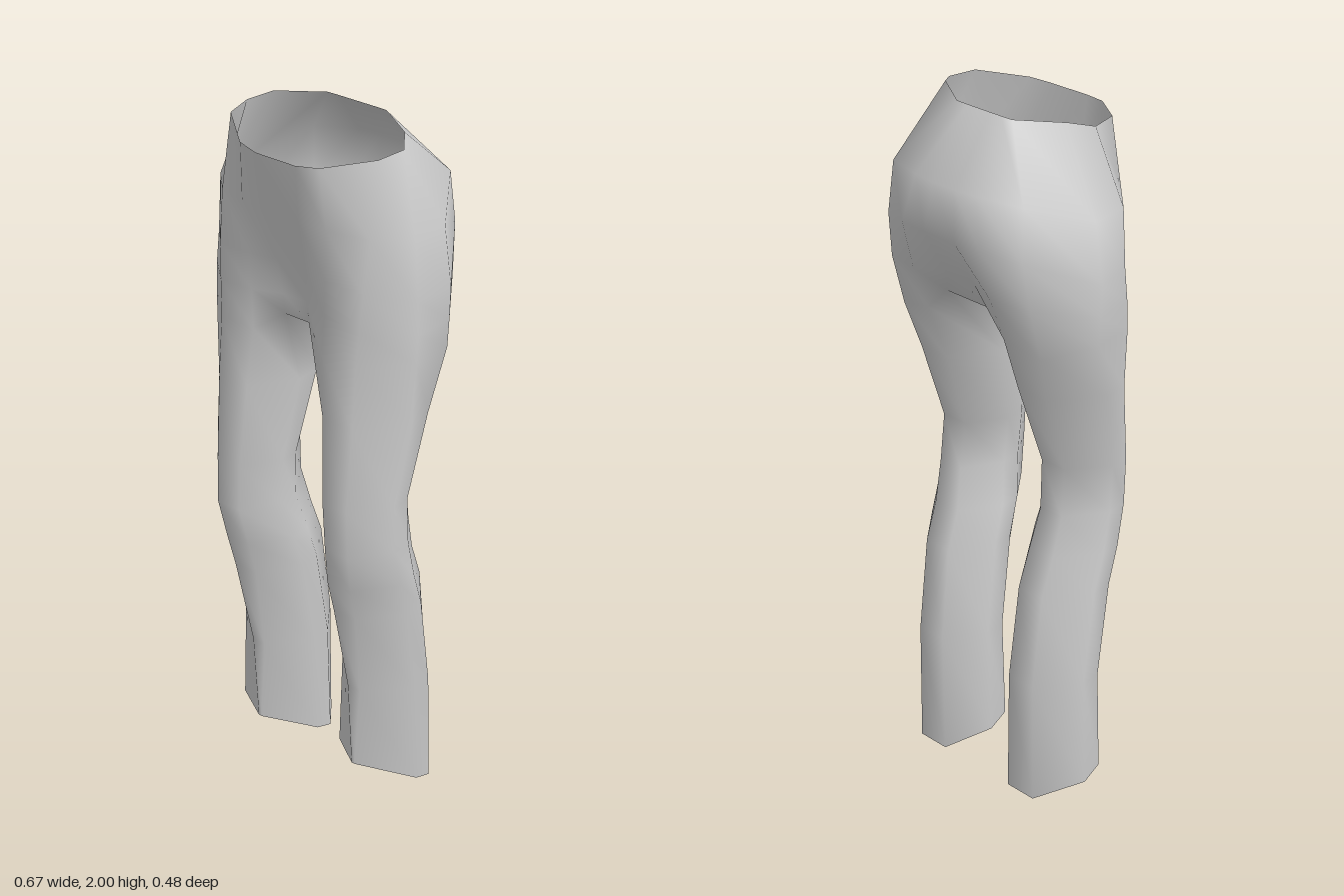
import * as THREE from 'three';

// Torso rings from waist to crotch, one side only, running from the centre
// front round the hip to the centre back: x, y, z for each of 8 columns.
const TORSO = [
  // waist rim
  [.06, 1.96, .24, .12, 1.965, .225, .225, 1.983, .135, .24, 1.985, .055,
    .2, 2, 0, .09, 2, -.075, .055, 2, -.076, .02, 2, -.076],
  // upper hip
  [.05, 1.8, .217, .13, 1.8, .212, .23, 1.79, .17, .305, 1.78, .09,
    .312, 1.78, -.02, .215, 1.84, -.175, .1, 1.85, -.215, .035, 1.85, -.222],
  // widest hip
  [.045, 1.66, .187, .12, 1.66, .205, .225, 1.65, .19, .316, 1.62, .09,
    .335, 1.62, -.02, .225, 1.7, -.188, .13, 1.72, -.235, .05, 1.72, -.24],
  // below the seat
  [.038, 1.56, .172, .115, 1.56, .202, .22, 1.55, .198, .322, 1.53, .095,
    .333, 1.53, -.02, .235, 1.57, -.17, .13, 1.58, -.2, .045, 1.58, -.165],
  // crotch
  [.038, 1.5, .165, .11, 1.45, .205, .215, 1.45, .205, .322, 1.45, .1,
    .329, 1.45, -.02, .235, 1.42, -.13, .13, 1.45, -.15, .09, 1.5, -.12],
];

// Leg rings: y, inner x, outer x, back z, front z, half width of the front facet
const LEG = [
  [1.28, .042, .315, -.088, .22, .17],
  [1.04, .07, .296, -.01, .24, .17],
  [.9, .08, .297, -.022, .24, .17],
  [.78, .06, .3, -.05, .217, .16],
  [.67, .057, .3, -.09, .19, .15],
  [.39, .05, .303, -.125, .145, .08],
  [0, .04, .315, -.125, .147, .02], // hem, slanted below
];

const COLS = 8;

// Eight points round a leg, in the same column order as the torso rings
function legRing([y, xi, xo, zb, zf, f], isHem) {
  const mid = 0.47;
  const section = [
    [0, .62], [mid - f, 1], [mid + f, 1], [1, .62],
    [1, .4], [mid + .17, 0], [mid - .17, 0], [0, .4],
  ];
  return section.flatMap(([u, v]) => {
    const z = zb + (zf - zb) * v;
    return [xi + (xo - xi) * u, isHem ? .057 + .45 * z : y, z];
  });
}

function trousersGeometry() {
  const rings = [...TORSO, ...LEG.map((r, i) => legRing(r, i === LEG.length - 1))];
  const left = rings.flat();
  const right = left.map((v, i) => (i % 3 === 0 ? -v : v));
  const offset = left.length / 3;
  const crotch = TORSO.length - 1;
  const index = [];
  const L = (row, col) => row * COLS + (col % COLS);
  const R = (row, col) => offset + L(row, col);
  // a b is the upper edge, d e the lower edge, seen from outside
  const quad = (a, b, d, e) => index.push(a, d, e, a, e, b);

  for (let r = 0; r < rings.length - 1; r++) {
    // the torso is open along the centre, the legs are closed tubes
    const spans = r < crotch ? COLS - 1 : COLS;
    for (let c = 0; c < spans; c++) {
      quad(L(r, c), L(r, c + 1), L(r + 1, c), L(r + 1, c + 1));
      quad(R(r, c + 1), R(r, c), R(r + 1, c + 1), R(r + 1, c));
    }
    // centre strips joining both halves, front and back
    if (r < crotch) {
      quad(R(r, 0), L(r, 0), R(r + 1, 0), L(r + 1, 0));
      quad(L(r, 7), R(r, 7), L(r + 1, 7), R(r + 1, 7));
    }
  }
  // crotch floor between the legs
  quad(R(crotch, 0), L(crotch, 0), R(crotch, 7), L(crotch, 7));

  const geometry = new THREE.BufferGeometry();
  geometry.setAttribute('position', new THREE.Float32BufferAttribute([...left, ...right], 3));
  geometry.setIndex(index);
  geometry.computeVertexNormals();
  return geometry;
}

export function createModel() {
  const model = new THREE.Group();
  model.name = 'flaredTrousers';
  const cloth = new THREE.MeshStandardMaterial({ color: 0xcccccc, side: THREE.DoubleSide });
  cloth.name = 'light grey cloth';
  const trousers = new THREE.Mesh(trousersGeometry(), cloth);
  trousers.name = 'trousers';
  model.add(trousers);
  return model;
}
